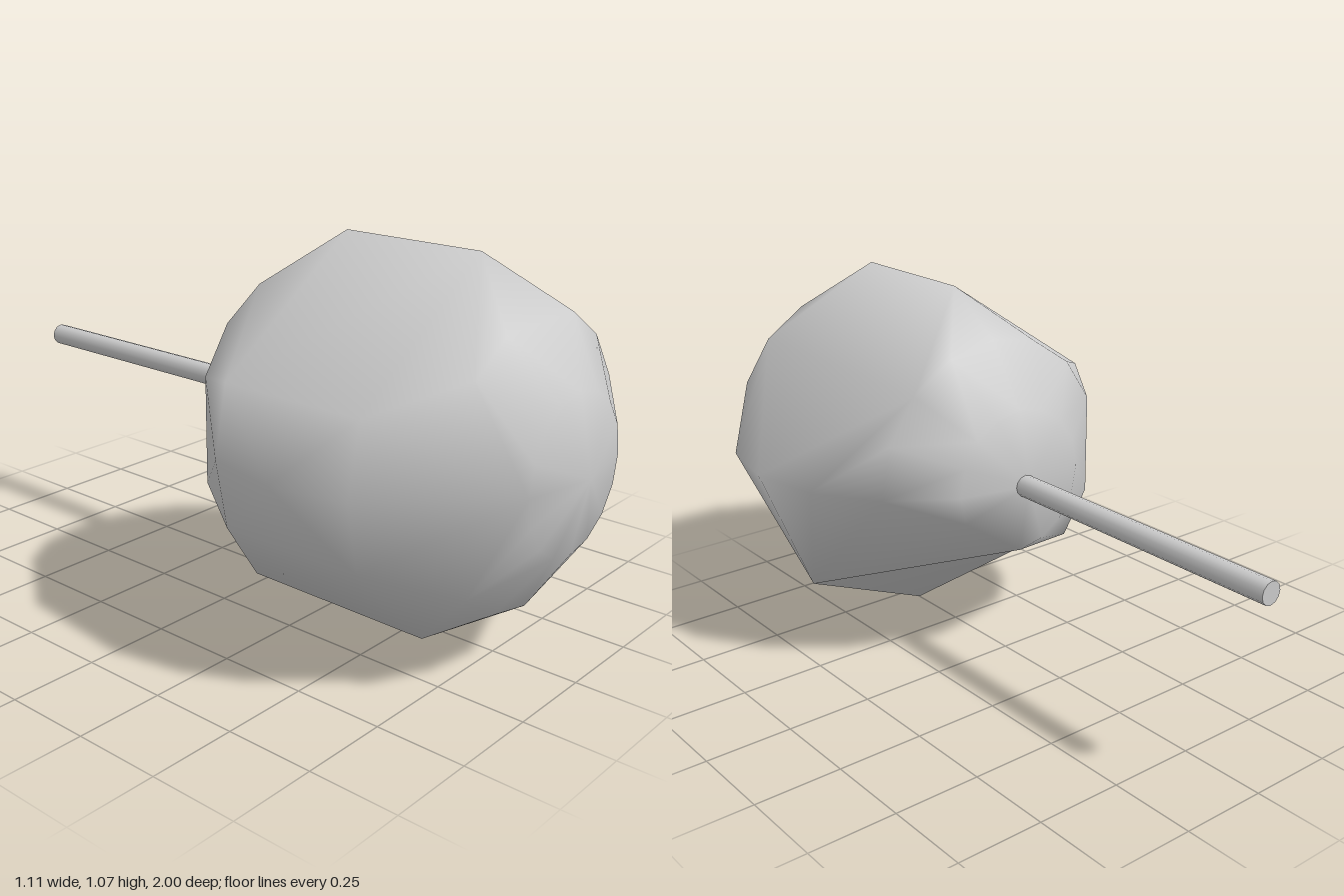
import * as THREE from 'three';
import { mergeVertices } from 'three/addons/utils/BufferGeometryUtils.js';
import { ConvexGeometry } from 'three/addons/geometries/ConvexGeometry.js';

const R = 0.555;
const STEP = Math.PI / 8;

// Point on the ball: ring counted from the front pole, step counted around z from +x
function onBall(ring, step) {
  const r = R * Math.sin(ring * STEP);
  return new THREE.Vector3(r * Math.cos(step * STEP), r * Math.sin(step * STEP), R * Math.cos(ring * STEP));
}

// Turns the edge shared by two triangles so that it joins their other corners
function flipEdge(geometry, from, to) {
  const pos = geometry.attributes.position;
  const idx = geometry.index.array;
  const find = (p) => {
    for (let i = 0; i < pos.count; i++) {
      if (new THREE.Vector3().fromBufferAttribute(pos, i).distanceTo(p) < 1e-3) return i;
    }
    return -1;
  };
  const a = find(from), b = find(to);
  let first = -1, second = -1, p, q;
  for (let t = 0; t < idx.length; t += 3) {
    for (let k = 0; k < 3; k++) {
      const u = idx[t + k], v = idx[t + (k + 1) % 3], w = idx[t + (k + 2) % 3];
      if (u === a && v === b) { first = t; p = w; }
      if (u === b && v === a) { second = t; q = w; }
    }
  }
  if (first < 0 || second < 0) return;
  idx.set([p, a, q], first);
  idx.set([q, b, p], second);
}

export function createModel() {
  const group = new THREE.Group();
  const material = new THREE.MeshStandardMaterial({ color: 0xcccccc, side: THREE.DoubleSide });

  // Steps kept on each ring; the gaps make the worn, flattened patches
  const rings = [
    [0],
    [0, 1, 2, 3, 4, 5, 6, 7, 8, 9, 10, 11, 12, 13, 14, 15],
    [0, 1, 2, 3, 5, 6, 10, 11, 12, 14, 15],
    [0, 4, 7, 8, 9, 11],
    [0, 8, 12, 14],
    [0, 4, 7, 8, 9, 10],
    [0, 1, 2, 3, 4, 5, 6, 7, 9, 10],
    [0, 1, 2, 3, 4, 5, 6, 7, 8, 9, 10, 11, 12, 15],
    [0],
  ];
  const points = rings.flatMap((steps, ring) => steps.map((s) => onBall(ring, s)));

  let geometry = new ConvexGeometry(points);
  geometry.deleteAttribute('normal');
  geometry = mergeVertices(geometry, 1e-4);

  // Shallow folds around the lowest corner
  const bottom = onBall(4, 12);
  flipEdge(geometry, bottom, onBall(7, 12));
  flipEdge(geometry, bottom, onBall(6, 10));
  flipEdge(geometry, bottom, onBall(2, 12));
  flipEdge(geometry, onBall(2, 12), onBall(4, 14));
  geometry.computeVertexNormals();

  const ball = new THREE.Mesh(geometry, material);
  ball.name = 'facetedBall';
  ball.position.set(0, 0.56, 0.445);
  group.add(ball);

  // Thin rod running straight back
  const front = -0.09, back = -1;
  const rod = new THREE.Mesh(new THREE.CylinderGeometry(0.032, 0.032, front - back, 12), material);
  rod.name = 'stick';
  rod.rotation.x = Math.PI / 2;
  rod.position.set(0.01, 0.56, (front + back) / 2);
  group.add(rod);

  return group;
}
